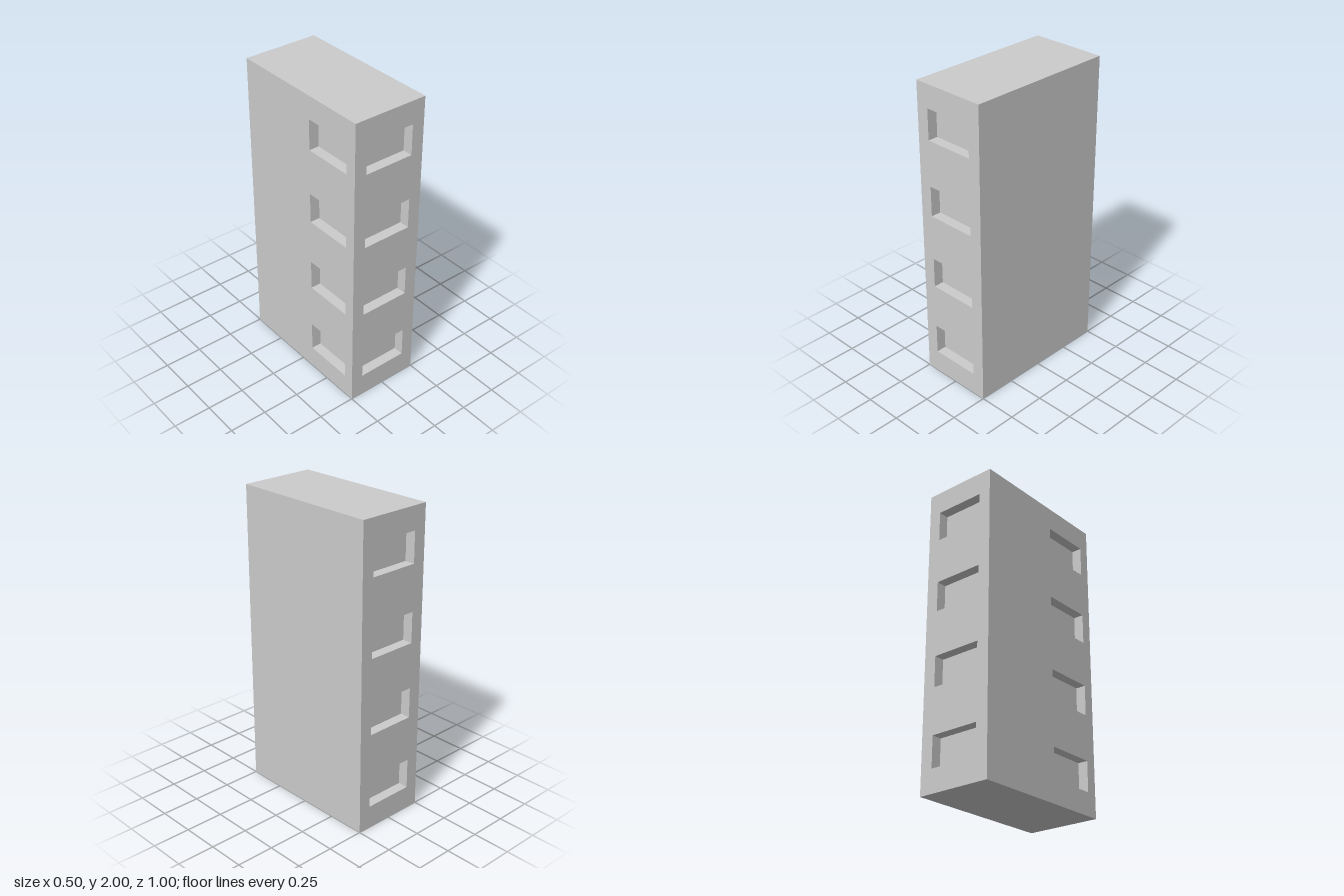
import * as THREE from 'three';

const W = 0.5, H = 2, D = 1;                      // tower size
const WIN_W = 0.333, WIN_H = 0.2, WIN_D = 0.067;  // window recess size
const ROWS = [0.25, 0.75, 1.25, 1.75];            // window centre heights

const material = new THREE.MeshStandardMaterial({ color: 0xcccccc, flatShading: true });

function rectangle(target, x0, y0, x1, y1) {
  target.moveTo(x0, y0);
  target.lineTo(x1, y0);
  target.lineTo(x1, y1);
  target.lineTo(x0, y1);
  target.closePath();
  return target;
}

// Box seen from inside and open towards +z, its rim lying on z = 0
function recessGeometry() {
  const box = new THREE.BoxGeometry(WIN_W, WIN_H, WIN_D);
  const index = Array.from(box.index.array);
  index.splice(24, 6);
  box.setIndex(index.reverse());
  box.clearGroups();
  box.translate(0, 0, -WIN_D / 2);
  const open = box.toNonIndexed();
  open.computeVertexNormals();
  return open;
}

// Upright wall facing local +z, with an optional column of recessed windows at x = windowX
function makeWall(name, width, distance, angle, windowX = null) {
  const wall = new THREE.Group();
  wall.name = name;
  const shape = rectangle(new THREE.Shape(), -width / 2, 0, width / 2, H);
  if (windowX !== null) {
    const recess = recessGeometry();
    ROWS.forEach((y, i) => {
      shape.holes.push(rectangle(new THREE.Path(),
        windowX - WIN_W / 2, y - WIN_H / 2, windowX + WIN_W / 2, y + WIN_H / 2));
      const win = new THREE.Mesh(recess, material);
      win.name = `${name}Window${i + 1}`;
      win.position.set(windowX, y, distance);
      wall.add(win);
    });
  }
  const face = new THREE.Mesh(new THREE.ShapeGeometry(shape), material);
  face.name = `${name}Face`;
  face.position.z = distance;
  wall.add(face);
  wall.rotation.y = angle;
  return wall;
}

// Horizontal slab face, facing up or down
function makeCap(name, y, angle) {
  const cap = new THREE.Mesh(new THREE.PlaneGeometry(W, D), material);
  cap.name = name;
  cap.position.y = y;
  cap.rotation.x = angle;
  return cap;
}

export function createModel() {
  const model = new THREE.Group();
  model.name = 'towerBlock';
  model.add(
    makeWall('frontWall', W, D / 2, 0, 0),
    makeWall('backWall', W, D / 2, Math.PI, 0),
    makeWall('windowedSideWall', D, W / 2, -Math.PI / 2, 0.262), // windows sit near the front
    makeWall('plainSideWall', D, W / 2, Math.PI / 2),
    makeCap('roof', H, -Math.PI / 2),
    makeCap('base', 0, Math.PI / 2),
  );
  return model;
}
